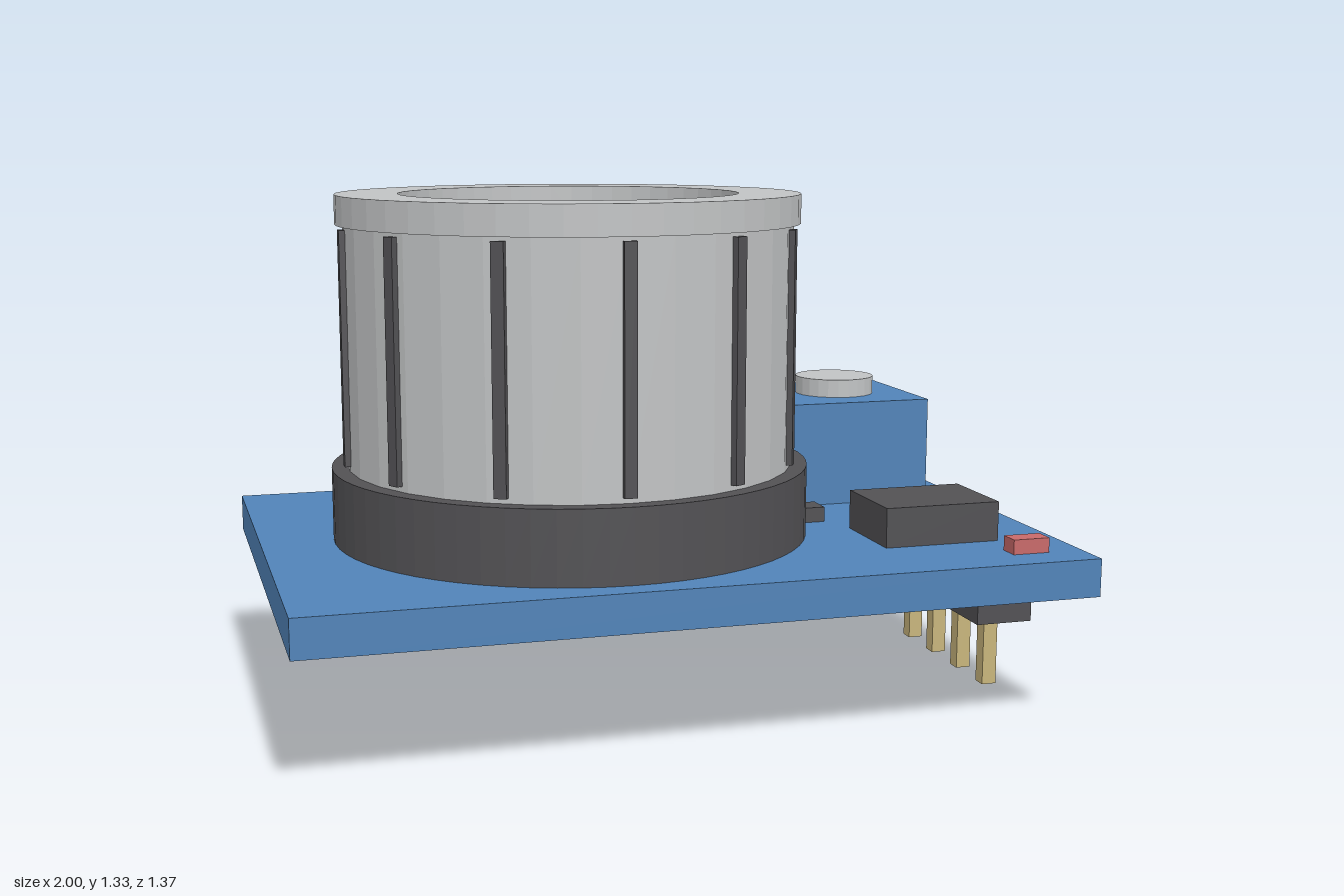
import * as THREE from 'three';

const paint = (name, color) => {
  const m = new THREE.MeshStandardMaterial({ color });
  m.name = name;
  return m;
};

export function createModel() {
  const blue = paint('board blue', 0x5183b8);
  const grey = paint('metal grey', 0xc1c3c4);
  const dark = paint('dark plastic', 0x525154);
  const red = paint('red', 0xc86a6a);
  const gold = paint('pin gold', 0xc8b57c);
  grey.flatShading = true;
  dark.flatShading = true;

  const model = new THREE.Group();
  model.name = 'sensorModule';

  const add = (name, geometry, material, parent = model) => {
    const mesh = new THREE.Mesh(geometry, material);
    mesh.name = name;
    parent.add(mesh);
    return mesh;
  };
  // Box from its extents along each axis
  const box = (name, material, [x0, x1], [y0, y1], [z0, z1], parent) => {
    const mesh = add(name, new THREE.BoxGeometry(x1 - x0, y1 - y0, z1 - z0), material, parent);
    mesh.position.set((x0 + x1) / 2, (y0 + y1) / 2, (z0 + z1) / 2);
    return mesh;
  };
  // Upright cylinder from its bottom and top heights
  const disc = (name, material, r, y0, y1, segments, parent) => {
    const mesh = add(name, new THREE.CylinderGeometry(r, r, y1 - y0, segments), material, parent);
    mesh.position.y = (y0 + y1) / 2;
    return mesh;
  };

  const TOP = 0.445;
  box('circuitBoard', blue, [-0.998, 0.998], [0.347, TOP], [-0.687, 0.687]);

  // Round sensor: collar, can, rim with a recessed top, and dark slots
  const sensor = new THREE.Group();
  sensor.name = 'sensor';
  sensor.position.x = -0.19;
  model.add(sensor);
  disc('collar', dark, 0.622, TOP, 0.633, 64, sensor);
  disc('can', grey, 0.58, 0.633, 1.258, 32, sensor);
  const rim = [[0.438, 1.257], [0.598, 1.257], [0.598, 1.333], [0.438, 1.333], [0.438, 1.257]];
  add('rim', new THREE.LatheGeometry(rim.map(([x, y]) => new THREE.Vector2(x, y)), 48), grey, sensor);
  for (let i = 0; i < 12; i++) {
    const slot = new THREE.Group();
    slot.name = 'slot';
    slot.rotation.y = (i * Math.PI) / 6;
    sensor.add(slot);
    box('slotStrip', dark, [0.565, 0.594], [0.647, 1.247], [-0.016, 0.016], slot);
  }

  // Trimmer block with its round knob
  box('trimmer', blue, [0.476, 0.886], [TOP, 0.733], [-0.52, -0.11]);
  disc('trimmerKnob', grey, 0.112, 0.733, 0.783, 24).position.set(0.681, 0.758, -0.315);

  // Chip and small components
  box('chip', dark, [0.528, 0.84], [TOP, 0.548], [0.19, 0.435]);
  for (const z of [-0.165, 0.023]) box('smallPart', dark, [0.38, 0.493], [TOP, 0.485], [z, z + 0.075]);
  for (const z of [-0.63, 0.535]) box('indicatorLight', red, [0.806, 0.904], [TOP, 0.483], [z, z + 0.055]);

  // Pin header below the board
  box('header', dark, [0.843, 1], [0.19, 0.347], [-0.33, 0.33]);
  for (let i = 0; i < 4; i++) {
    const z = -0.24 + i * 0.16;
    box('pin', gold, [0.898, 0.938], [0, 0.19], [z - 0.02, z + 0.02]);
  }
  return model;
}
